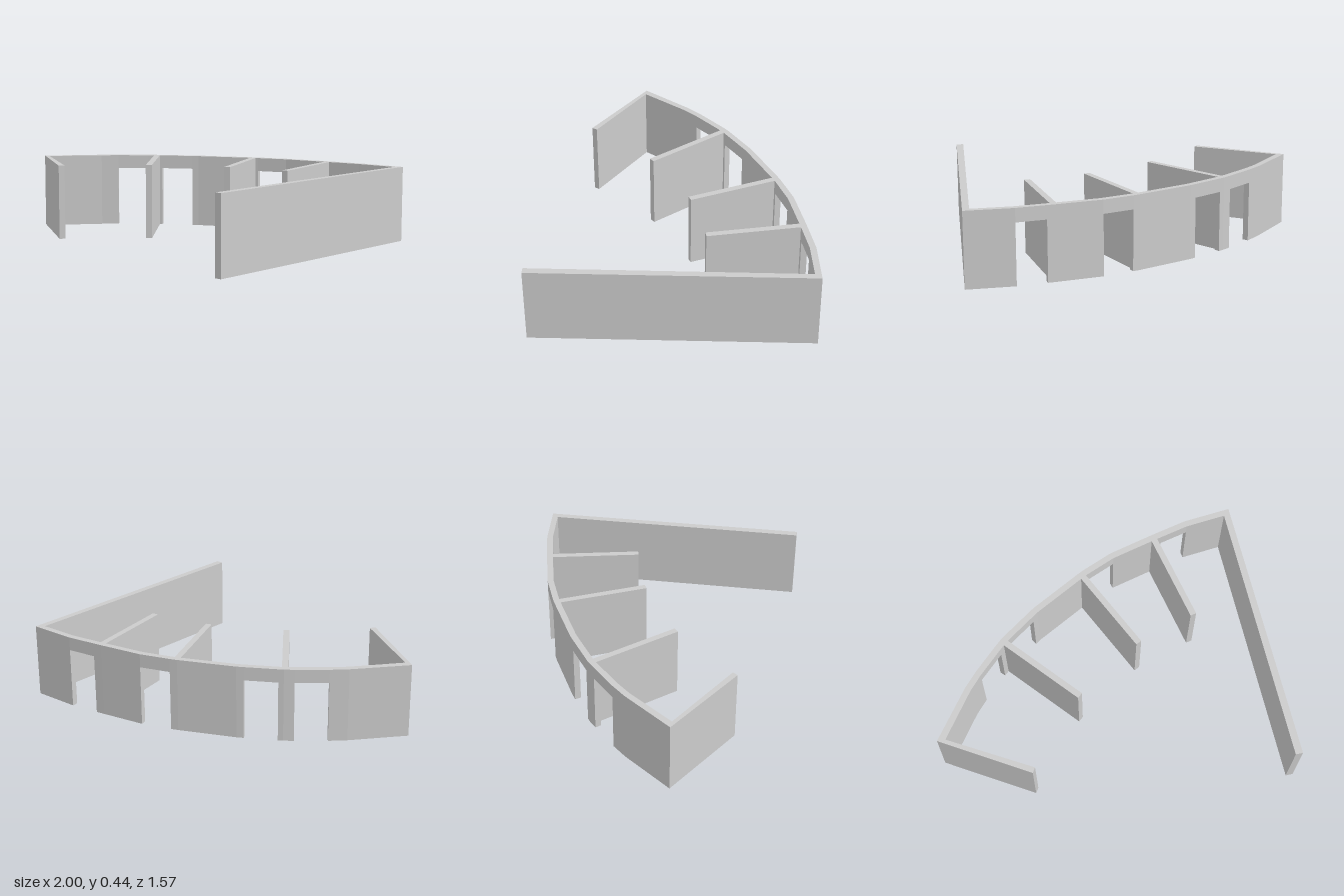
import * as THREE from 'three';

const HEIGHT = 0.435, DOOR = 0.355, THICK = 0.036;
const material = new THREE.MeshStandardMaterial({ color: 0xcccccc, flatShading: true });

// Straight wall: a plan outline of [x, z] corners raised to full height
function planWall(name, corners) {
  const shape = new THREE.Shape(corners.map(([x, z]) => new THREE.Vector2(x, -z)));
  const geometry = new THREE.ExtrudeGeometry(shape, { depth: HEIGHT, bevelEnabled: false });
  geometry.rotateX(-Math.PI / 2);
  const mesh = new THREE.Mesh(geometry, material);
  mesh.name = name;
  return mesh;
}

// Partition of constant thickness along a centre line
function partition(name, [x0, z0], [x1, z1]) {
  const len = Math.hypot(x1 - x0, z1 - z0);
  const nx = (-(z1 - z0) / len) * THICK / 2, nz = ((x1 - x0) / len) * THICK / 2;
  return planWall(name, [[x0 + nx, z0 + nz], [x1 + nx, z1 + nz], [x1 - nx, z1 - nz], [x0 - nx, z0 - nz]]);
}

// Faceted back wall: outer points [x, z, doorway starts here]
function curvedWall() {
  const outer = [
    [-1, 0.27], [-0.785, -0.01], [-0.71, -0.09, 1], [-0.57, -0.22], [-0.525, -0.26],
    [-0.5, -0.277, 1], [-0.34, -0.385], [-0.305, -0.408], [0, -0.567], [0.04, -0.585, 1],
    [0.21, -0.653], [0.47, -0.715], [0.52, -0.726, 1], [0.69, -0.763], [0.967, -0.786],
  ];
  const last = outer.length - 1;
  // Inner points are offset square to the curve; both ends are mitred to the side walls
  const inner = outer.map(([x, z], i) => {
    if (i === 0) return [-0.952, 0.272];
    if (i === last) return [0.93, -0.748];
    const [ax, az] = outer[i - 1], [bx, bz] = outer[i + 1];
    const len = Math.hypot(bx - ax, bz - az);
    return [x - ((bz - az) / len) * THICK, z + ((bx - ax) / len) * THICK];
  });

  const positions = [];
  const at = ([x, z], y) => [x, y, z];
  const quad = (a, b, c, d) => positions.push(...a, ...b, ...c, ...a, ...c, ...d);
  for (let i = 0; i < last; i++) {
    const lo = outer[i][2] ? DOOR : 0;
    const oa = outer[i], ob = outer[i + 1], ia = inner[i], ib = inner[i + 1];
    quad(at(ob, lo), at(oa, lo), at(oa, HEIGHT), at(ob, HEIGHT));
    quad(at(ia, lo), at(ib, lo), at(ib, HEIGHT), at(ia, HEIGHT));
    quad(at(oa, HEIGHT), at(ia, HEIGHT), at(ib, HEIGHT), at(ob, HEIGHT));
    quad(at(oa, lo), at(ob, lo), at(ib, lo), at(ia, lo));
    // Doorway jambs
    if (lo) {
      quad(at(ia, 0), at(oa, 0), at(oa, DOOR), at(ia, DOOR));
      quad(at(ob, 0), at(ib, 0), at(ib, DOOR), at(ob, DOOR));
    }
  }
  const geometry = new THREE.BufferGeometry();
  geometry.setAttribute('position', new THREE.Float32BufferAttribute(positions, 3));
  geometry.computeVertexNormals();
  const mesh = new THREE.Mesh(geometry, material);
  mesh.name = 'curvedBackWall';
  return mesh;
}

export function createModel() {
  const group = new THREE.Group();
  group.name = 'curvedRoomWalls';
  group.add(
    curvedWall(),
    // Long wall on the left, short end wall on the right
    planWall('longSideWall', [[0.967, -0.786], [0.996, 0.785], [0.954, 0.785], [0.93, -0.748]]),
    planWall('shortEndWall', [[-1, 0.27], [-0.51, 0.57], [-0.491, 0.541], [-0.952, 0.272]]),
    // Partitions between the doorways
    partition('leftPartition', [0.482, -0.698], [0.597, -0.166]),
    partition('middlePartition', [0.013, -0.556], [0.246, -0.063]),
    partition('rightPartition', [-0.522, -0.246], [-0.155, 0.18]),
  );
  return group;
}
